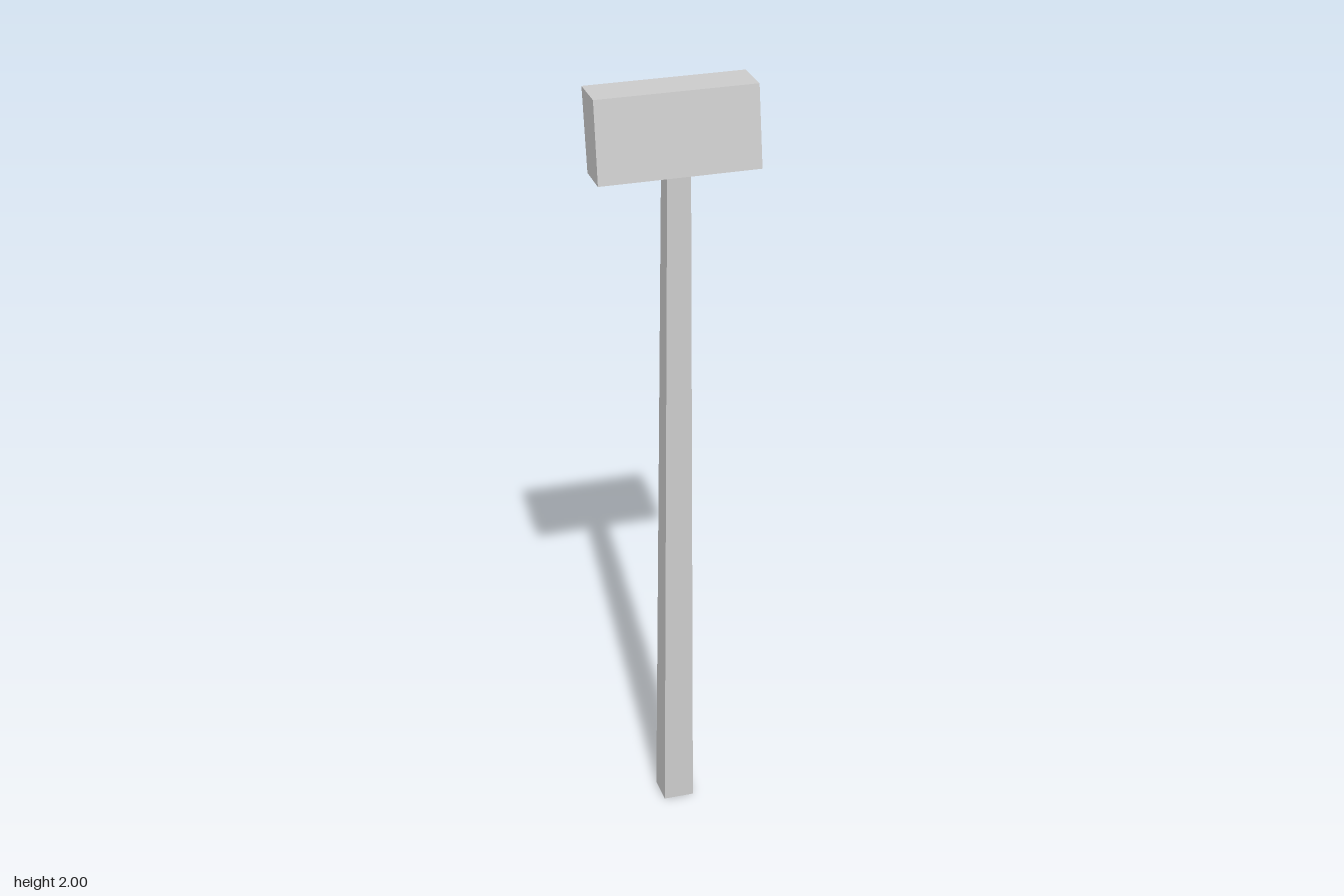
import * as THREE from 'three';

// Box whose bottom and top rectangles differ: each is [xMin, xMax, y, zMin, zMax]
function taperedBox(name, bottom, top, material) {
  const geometry = new THREE.BoxGeometry(1, 1, 1);
  const pos = geometry.attributes.position;
  for (let i = 0; i < pos.count; i++) {
    const [x0, x1, y, z0, z1] = pos.getY(i) < 0 ? bottom : top;
    pos.setXYZ(i, pos.getX(i) < 0 ? x0 : x1, y, pos.getZ(i) < 0 ? z0 : z1);
  }
  geometry.computeVertexNormals();
  const mesh = new THREE.Mesh(geometry, material);
  mesh.name = name;
  return mesh;
}

export function createModel() {
  const group = new THREE.Group();
  group.name = 'mallet';
  const material = new THREE.MeshStandardMaterial({ color: 0xcccccc, flatShading: true });

  // Long square handle, narrowing towards the head
  group.add(taperedBox('handle',
    [-0.044, 0.036, 0, -0.012, 0.069],
    [-0.031, 0.029, 1.797, 0.003, 0.054], material));

  // Slanted block head, leaning back
  group.add(taperedBox('head',
    [-0.205, 0.205, 1.796, -0.029, 0.066],
    [-0.205, 0.205, 2, -0.071, 0.033], material));

  return group;
}
